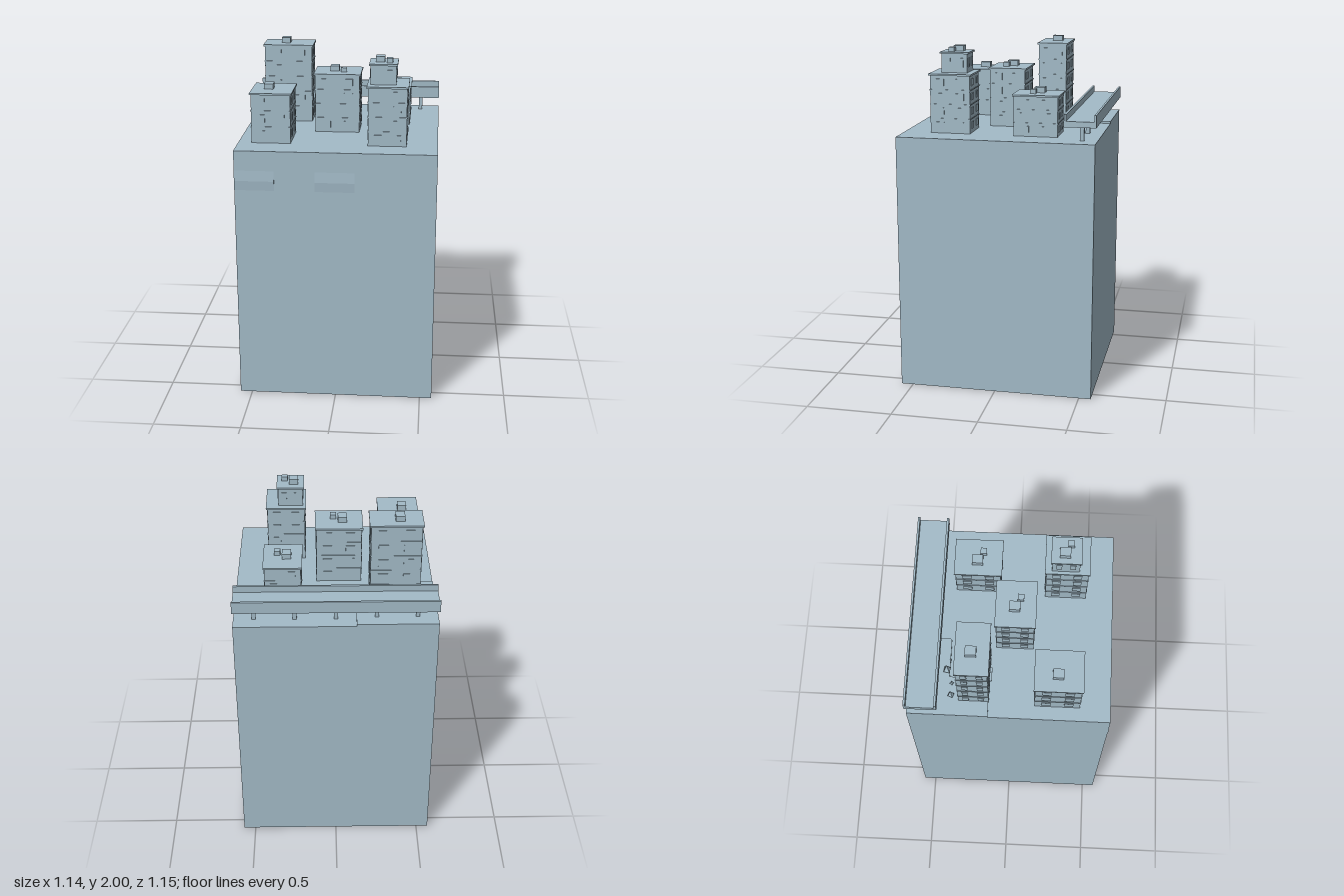
import * as THREE from 'three';

export function createModel() {
  const model = new THREE.Group();
  model.name = 'cityBlock';
  const stone = new THREE.MeshStandardMaterial({ color: 0xa3bbc8, flatShading: true });
  stone.name = 'blue grey stone';
  const GROUND = 1.5;

  function add(parent, geometry, name) {
    const mesh = new THREE.Mesh(geometry, stone);
    mesh.name = name;
    parent.add(mesh);
    return mesh;
  }

  // Box given by its minimum and maximum on each axis
  function box(parent, name, x0, x1, y0, y1, z0, z1) {
    const mesh = add(parent, new THREE.BoxGeometry(x1 - x0, y1 - y0, z1 - z0), name);
    mesh.position.set((x0 + x1) / 2, (y0 + y1) / 2, (z0 + z1) / 2);
    return mesh;
  }

  // Ground block
  box(model, 'groundBlock', -0.57, 0.57, 0, GROUND, -0.57, 0.57);

  // Shallow ridges on the front face
  for (const x of [-0.57, -0.115]) {
    const profile = new THREE.Shape();
    profile.moveTo(0, 1.27);
    profile.lineTo(0.004, 1.325);
    profile.lineTo(0, 1.385);
    const ridge = add(model, new THREE.ExtrudeGeometry(profile, { depth: 0.226, bevelEnabled: false }), 'frontRidge');
    ridge.rotation.y = -Math.PI / 2;
    ridge.position.set(x + 0.226, 0, 0.57);
    ridge.scale.x = 1;
    ridge.rotation.y = -Math.PI / 2;
  }

  // Raised pavement in the back corner
  const pavement = new THREE.Shape();
  pavement.moveTo(-0.57, 0.57);
  pavement.lineTo(-0.57, 0.115);
  pavement.lineTo(-0.345, 0.115);
  pavement.lineTo(-0.345, 0.34);
  pavement.lineTo(-0.125, 0.34);
  pavement.lineTo(-0.115, 0.35);
  pavement.lineTo(-0.115, 0.57);
  const paving = add(model, new THREE.ExtrudeGeometry(pavement, { depth: 0.012, bevelEnabled: false }), 'pavement');
  paving.rotation.x = -Math.PI / 2;
  paving.position.y = GROUND;

  // One tower section: walls, floor ledges, windows and overhanging roof
  function section(parent, x0, x1, z0, z1, y0, y1, floors) {
    const o = 0.008;
    const w = x1 - x0 - 2 * o, d = z1 - z0 - 2 * o;
    const cx = (x0 + x1) / 2, cz = (z0 + z1) / 2;
    const step = (y1 - 0.01 - y0) / floors;
    box(parent, 'walls', x0 + o, x1 - o, y0, y1 - 0.01, z0 + o, z1 - o);
    box(parent, 'roof', x0, x1, y1 - 0.01, y1, z0, z1);
    for (let f = 0; f < floors; f++) {
      const y = y0 + f * step;
      if (f > 0) box(parent, 'floorLedge', x0 + 0.005, x1 - 0.005, y - 0.003, y + 0.003, z0 + 0.005, z1 - 0.005);
      for (const s of [-1, 1]) {
        const wy = y + step * 0.3, wt = y + step * 0.78;
        const a = cx + s * w * 0.25, b = cz + s * d * 0.25;
        const hw = w * 0.1, hd = d * 0.1;
        box(parent, 'windowsFrontBack', a - hw, a + hw, wy, wt, z0 + o - 0.004, z1 - o + 0.004);
        box(parent, 'windowsSides', x0 + o - 0.004, x1 - o + 0.004, wy, wt, b - hd, b + hd);
      }
    }
  }

  // Roof boxes: a stair house and sometimes a smaller vent beside it
  function roofBoxes(parent, x, z, y, vent) {
    box(parent, 'stairHouse', x - 0.026, x + 0.026, y, y + 0.031, z - 0.03, z + 0.03);
    if (vent) box(parent, 'roofVent', x + 0.036, x + 0.071, y, y + 0.025, z + 0.014, z + 0.049);
  }

  function building(name, x0, x1, z0, z1, top, floors, bx, bz, vent, upper) {
    const g = new THREE.Group();
    g.name = name;
    model.add(g);
    section(g, x0, x1, z0, z1, GROUND, top, floors);
    if (upper) section(g, ...upper);
    roofBoxes(g, bx, bz, upper ? upper[5] : top, vent);
    return g;
  }

  const tall = building('tallTower', -0.49, -0.19, -0.29, -0.105, 1.969, 5, -0.36, -0.205, false);
  box(tall, 'entranceCanopy', -0.38, -0.3, 1.56, 1.57, -0.12, -0.1);
  building('backBlock', 0.185, 0.405, -0.34, -0.07, 1.737, 3, 0.273, -0.21, true);
  building('middleTower', -0.162, 0.113, -0.093, 0.132, 1.847, 4, -0.045, 0.013, true);
  building('frontBlock', -0.5, -0.26, 0.135, 0.405, 1.79, 3, -0.403, 0.265, false);
  building('steppedTower', 0.165, 0.4, 0.17, 0.42, 1.842, 4, 0.235, 0.275, true,
    [0.175, 0.335, 0.2, 0.368, 1.842, 1.96, 1]);

  // Raised railway: channel deck on five pillars
  const viaduct = new THREE.Group();
  viaduct.name = 'viaduct';
  model.add(viaduct);
  box(viaduct, 'deck', -0.57, 0.57, 1.592, 1.625, -0.575, -0.395);
  box(viaduct, 'backParapet', -0.57, 0.57, 1.625, 1.662, -0.575, -0.563);
  box(viaduct, 'frontParapet', -0.57, 0.57, 1.625, 1.662, -0.408, -0.395);
  for (let i = -2; i <= 2; i++) {
    const x = i * 0.228;
    box(viaduct, 'pillar', x - 0.011, x + 0.011, GROUND, 1.585, -0.494, -0.47);
    box(viaduct, 'pillarCap', x - 0.015, x + 0.015, 1.582, 1.592, -0.525, -0.44);
  }

  // Small stacked trees behind the tall tower
  for (const [x, z, r, turn] of [[-0.455, -0.325, 0.02, 0.4], [-0.385, -0.325, 0.012, 0.2], [-0.31, -0.355, 0.025, 0.6]]) {
    const tree = new THREE.Group();
    tree.name = 'tree';
    tree.position.set(x, GROUND + 0.01, z);
    tree.rotation.y = turn;
    model.add(tree);
    add(tree, new THREE.CylinderGeometry(r * 0.2, r * 0.2, r, 4), 'trunk').position.y = r / 2;
    for (let i = 0; i < 3; i++) {
      add(tree, new THREE.ConeGeometry(r * (1 - i * 0.25), r * 1.3, 4), 'foliage').position.y = r * (1.5 + i * 0.7);
    }
  }

  // Street posts
  for (const [x, z] of [[-0.245, -0.34], [-0.155, -0.29]]) {
    add(model, new THREE.CylinderGeometry(0.004, 0.004, 0.03, 6), 'streetPost').position.set(x, GROUND + 0.015, z);
  }
  return model;
}
